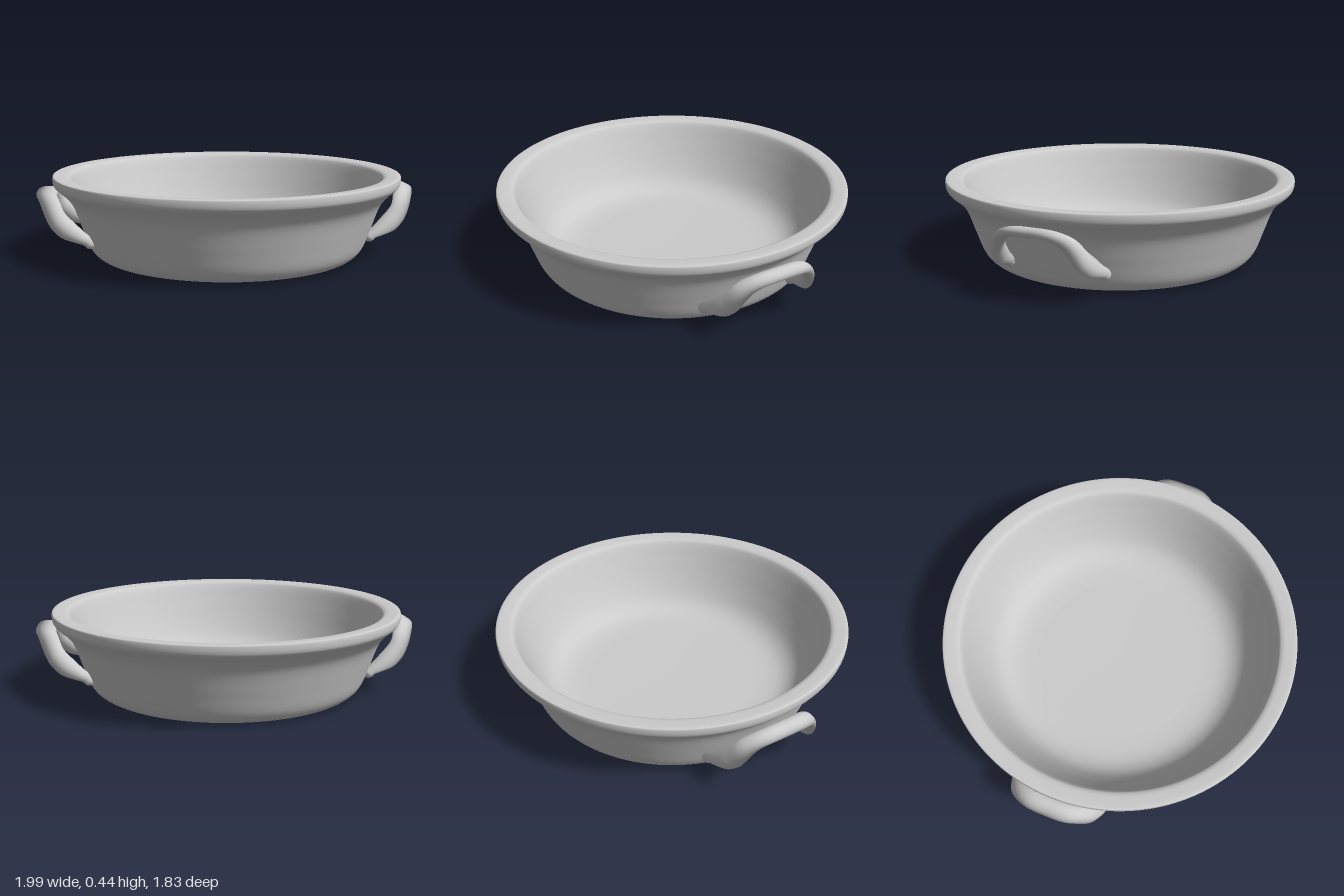
import * as THREE from 'three';

const { smoothstep } = THREE.MathUtils;
const material = new THREE.MeshStandardMaterial({ color: 0xcccccc, roughness: 0.7, side: THREE.DoubleSide });
const v2 = (p) => new THREE.Vector2(p[0], p[1]);

// Dish: one smooth profile from the underside over the rim to the floor
function createBowl() {
  const wall = [[0.645, 0], [0.692, 0.014], [0.733, 0.06], [0.772, 0.165], [0.814, 0.28], [0.857, 0.338],
    [0.898, 0.374], [0.912, 0.395], [0.914, 0.425], [0.906, 0.435], [0.87, 0.434], [0.835, 0.428],
    [0.815, 0.405], [0.78, 0.32], [0.732, 0.21], [0.678, 0.117], [0.62, 0.067], [0.55, 0.044], [0.45, 0.036]];
  const curve = new THREE.SplineCurve(wall.map(v2));
  const profile = [v2([0, 0]), v2([0.6, 0]), ...curve.getPoints(90), v2([0, 0.034])];
  const bowl = new THREE.Mesh(new THREE.LatheGeometry(profile, 128), material);
  bowl.name = 'bowl';
  return bowl;
}

// Turns an upright arch into a strap: wide at mid height, level on top, feet bent into the wall
function shapeStrap(geometry) {
  const pos = geometry.attributes.position;
  for (let i = 0; i < pos.count; i++) {
    const y = pos.getY(i);
    const top = smoothstep(y, 0.16, 0.29);
    const z = pos.getZ(i) * (1 + 0.8 * smoothstep(y, -0.01, 0.12) - 0.5 * top);
    const bend = 0.025 * Math.max(0, 1 - Math.max(y, 0) / 0.1) ** 2;
    const bulge = 0.01 * smoothstep(y, 0.04, 0.14) - 0.035 * top;
    pos.setY(i, y + 0.8 * top * z);
    pos.setZ(i, z - bend + bulge);
  }
  // Lean the arch outward at 45 degrees
  const lean = new THREE.Matrix4().makeBasis(
    new THREE.Vector3(0, 0, -1),
    new THREE.Vector3(Math.SQRT1_2, Math.SQRT1_2, 0),
    new THREE.Vector3(Math.SQRT1_2, -Math.SQRT1_2, 0),
  ).setPosition(0.75, 0.11, 0);
  return geometry.applyMatrix4(lean);
}

function createHandle(side) {
  const half = [[0.253, -0.018], [0.244, 0.04], [0.22, 0.14], [0.182, 0.236], [0.108, 0.29]];
  const path = new THREE.CatmullRomCurve3([
    ...half.map(([x, y]) => new THREE.Vector3(-x, y, 0)),
    new THREE.Vector3(0, 0.3, 0),
    ...half.slice().reverse().map(([x, y]) => new THREE.Vector3(x, y, 0)),
  ]);
  const foot = (x) => new THREE.SphereGeometry(0.029, 18, 12).translate(x, -0.018, 0);
  const parts = {
    handleArch: new THREE.TubeGeometry(path, 80, 0.029, 20),
    handleFootA: foot(-0.253),
    handleFootB: foot(0.253),
  };

  const group = new THREE.Group();
  group.name = side > 0 ? 'leftHandle' : 'rightHandle';
  for (const [name, geometry] of Object.entries(parts)) {
    const mesh = new THREE.Mesh(shapeStrap(geometry), material);
    mesh.name = name;
    group.add(mesh);
  }
  if (side < 0) group.rotation.y = Math.PI;
  return group;
}

export function createModel() {
  const model = new THREE.Group();
  model.name = 'bakingDish';
  model.add(createBowl(), createHandle(1), createHandle(-1));
  return model;
}
